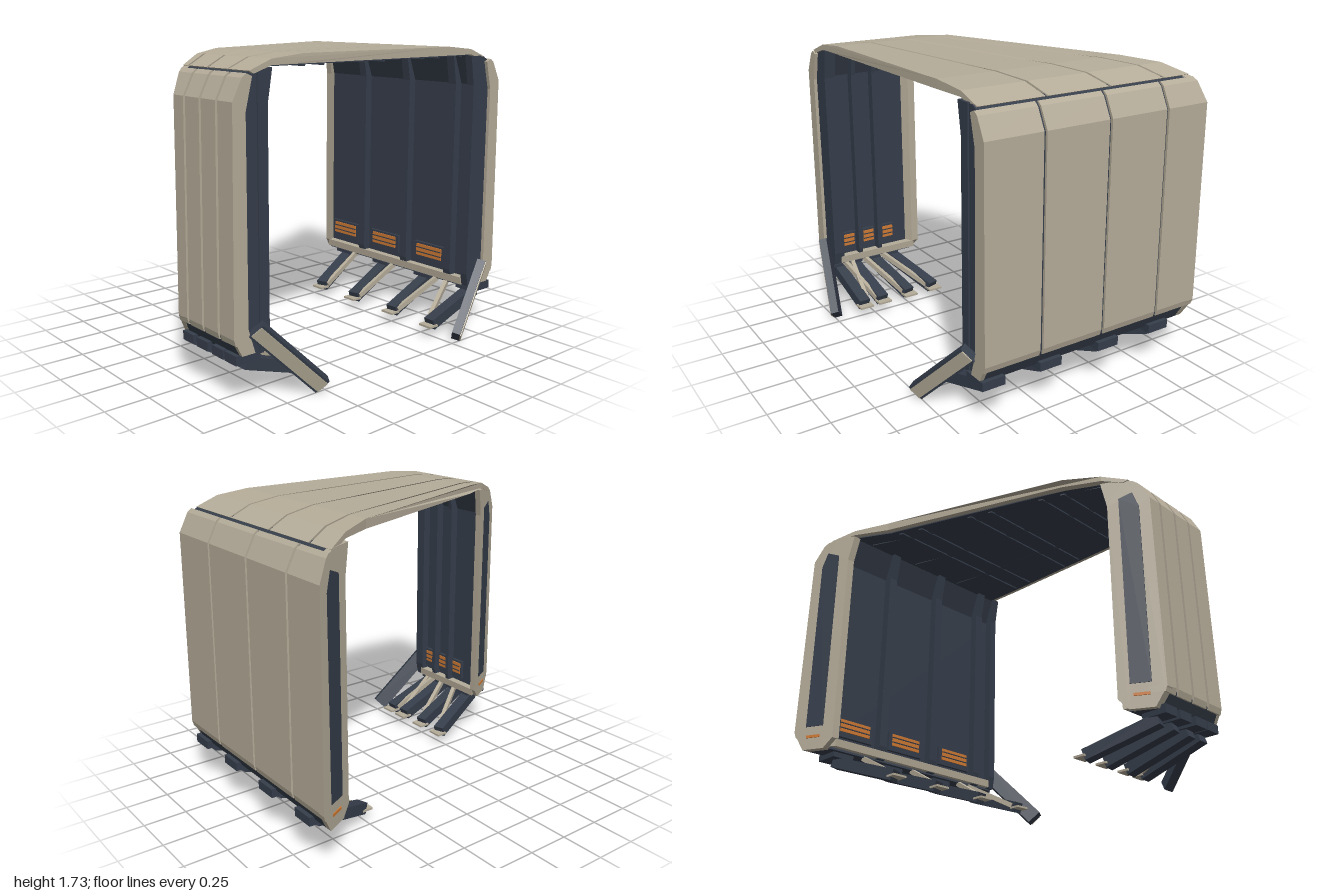
import * as THREE from 'three';

const mat = (name, color, side = THREE.FrontSide) => {
  const m = new THREE.MeshStandardMaterial({ color, side });
  m.name = name;
  return m;
};
const beige = mat('beige panel', 0xb5ac99);
const navy = mat('dark navy frame', 0x363e4b);
const orange = mat('orange light', 0xd07a34);

const fn = (v) => (typeof v === 'function' ? v : () => v);
const vec = (a) => new THREE.Vector3(...a);

// Extrudes an x-y profile between two z limits, which may vary with x
function prism(name, pts, front, back, material, hole) {
  const shape = new THREE.Shape(pts.map((p) => new THREE.Vector2(...p)));
  if (hole) shape.holes.push(new THREE.Path(hole.map((p) => new THREE.Vector2(...p))));
  const geo = new THREE.ExtrudeGeometry(shape, { depth: 1, bevelEnabled: false });
  const p = geo.attributes.position;
  const f = fn(front), b = fn(back);
  for (let i = 0; i < p.count; i++) {
    const x = p.getX(i);
    p.setZ(i, p.getZ(i) > 0.5 ? f(x) : b(x));
  }
  geo.computeVertexNormals();
  const m = new THREE.Mesh(geo, material);
  m.name = name;
  return m;
}

function box(name, size, pos, material) {
  const m = new THREE.Mesh(new THREE.BoxGeometry(...size), material);
  m.position.set(...pos);
  m.name = name;
  return m;
}

// Bar from a to b; its thickness lies along n, shifted by off
function beam(name, a, b, w, t, n, material, off = 0) {
  const A = vec(a), B = vec(b);
  const z = B.clone().sub(A), len = z.length();
  z.normalize();
  const y = vec(n);
  y.addScaledVector(z, -y.dot(z)).normalize();
  const x = y.clone().cross(z);
  const m = new THREE.Mesh(new THREE.BoxGeometry(w, t, len), material);
  m.quaternion.setFromRotationMatrix(new THREE.Matrix4().makeBasis(x, y, z));
  m.position.copy(A).add(B).multiplyScalar(0.5).addScaledVector(y, off);
  m.name = name;
  return m;
}

// One side wall: s = side, front z, groove positions, slanted back edge, leg roots and feet
function wall(s, front, grooves, back, roots, feet) {
  const g = new THREE.Group();
  g.name = s > 0 ? 'leftWall' : 'rightWall';
  const mir = (pts) => pts.map(([x, y]) => [s * x, y]);
  const gap = 0.009;

  // dark core
  g.add(prism('wallCore', mir([[0.9, 1.643], [0.92, 1.622], [0.972, 1.515], [0.984, 0.34], [0.94, 0.25],
    [0.8, 0.25], [0.82, 0.3], [0.82, 1.5], [0.76, 1.665], [0.86, 1.665]]),
    front - 0.02, (x) => back(x) + 0.035, navy));

  // outer armour panels separated by grooves
  const shell = mir([[0.905, 1.65], [0.93, 1.63], [0.986, 1.52], [0.998, 0.365], [0.988, 0.33],
    [0.91, 0.33], [0.91, 1.47], [0.87, 1.635]]);
  const limits = [front, ...grooves];
  limits.forEach((z, i) => {
    const hi = i ? z - gap : z;
    const lo = i < grooves.length ? limits[i + 1] + gap : back;
    g.add(prism('outerPanel', shell, hi, lo, beige));
  });

  // front lip and rear frame with recess
  g.add(prism('frontLip', mir([[0.91, 0.4], [0.998, 0.365], [0.95, 0.27], [0.87, 0.27]]), front, front - 0.025, beige));
  g.add(prism('rearFrame', mir([[0.9, 1.65], [0.93, 1.63], [0.986, 1.52], [0.998, 0.36], [0.94, 0.25],
    [0.82, 0.25], [0.77, 0.31], [0.77, 1.5], [0.74, 1.665], [0.86, 1.665]]),
    (x) => back(x) + 0.045, back, beige,
    mir([[0.835, 0.4], [0.925, 0.4], [0.925, 1.47], [0.9, 1.56], [0.835, 1.53]])));
  // cover the panel ends inside the recess
  g.add(prism('rearRecess', mir([[0.83, 0.39], [0.93, 0.39], [0.93, 1.47], [0.9, 1.57], [0.83, 1.54]]),
    back, (x) => back(x) - 0.003, navy));
  g.add(prism('rearLight', mir([[0.845, 0.32], [0.92, 0.32], [0.92, 0.336], [0.845, 0.336]]),
    back, (x) => back(x) - 0.006, orange));

  // inner pillars, ribs and sill
  const rib = mir([[0.83, 0.26], [0.785, 0.26], [0.77, 0.34], [0.77, 1.5], [0.742, 1.67], [0.83, 1.67]]);
  g.add(prism('frontPillar', rib, front - 0.012, front - 0.06, navy));
  const w = s > 0 ? 0.028 : 0.014;
  grooves.forEach((z, i) => {
    const mid = (limits[i] + z) / 2;
    g.add(prism('innerRib', rib, mid + w, mid - w, navy));
  });
  g.add(prism('innerSill', mir([[0.83, 0.265], [0.775, 0.265], [0.772, 0.31], [0.83, 0.31]]),
    front - 0.06, (x) => back(x) + 0.03, beige));

  // louvred orange vents near the floor
  const step = grooves[0] - grooves[1];
  for (const z of grooves) {
    g.add(box('ventHousing', [0.03, 0.12, step * 0.64], [s * 0.815, 0.4, z], navy));
    g.add(box('ventLight', [0.008, 0.075, step * 0.52], [s * 0.798, 0.41, z], orange));
    for (const y of [0.395, 0.425]) {
      g.add(box('ventSlat', [0.01, 0.006, step * 0.52], [s * 0.795, y, z], navy));
    }
  }

  // hinges at the roof joint
  for (const z of [front - 0.08, ...grooves]) {
    g.add(box('roofHinge', [0.05, 0.02, 0.03], [s * 0.8, 1.655, z], beige));
  }

  // stabiliser legs with struts, brackets and foot pads
  roots.forEach((z0, i) => {
    const z1 = feet[i];
    const dz = s > 0 ? 0.14 : 0.08;
    g.add(box('legBracket', [0.15, 0.05, s > 0 ? 0.14 : 0.1], [s * 0.9, 0.245, z0], navy));
    g.add(beam('leg', [s * 0.9, 0.21, z0], [s * 0.5, 0.075, z1], 0.07, 0.065, [0, 1, 0], navy));
    g.add(beam('legStrut', [s * 0.82, 0.25, z0 + (i ? dz : -dz)], [s * 0.52, 0.085, z1 + (i ? 0.03 : -0.03)],
      0.025, 0.03, [0, 1, 0], beige));
    g.add(box('footPad', [0.07, 0.012, 0.09], [s * 0.49, 0.07, z1], beige));
  });

  // large front brace with a light cover plate
  const a = [s * 0.875, 0.4, front + 0.012], b = [s * 0.525, 0.04, 0.755], n = [s * 0.5, -0.2, 0.8];
  g.add(beam('frontBrace', a, b, 0.095, 0.05, n, navy));
  g.add(beam('frontBraceCover', a, b, 0.068, 0.008, n, beige, 0.027));
  return g;
}

// Roof limits: z at four stations across x
const stations = [-0.9, -0.55, 0.55, 0.9];
const across = (zs, off = 0) => (x) => {
  let i = 0;
  while (i < 2 && x > stations[i + 1]) i++;
  const t = (x - stations[i]) / (stations[i + 1] - stations[i]);
  return zs[i] + (zs[i + 1] - zs[i]) * t + off;
};

function roof() {
  const g = new THREE.Group();
  g.name = 'roof';
  const lines = [
    [0.65, 0.64, 0.615, 0.6], [0.48, 0.42, 0.27, 0.2], [0.31, 0.18, -0.08, -0.2],
    [0.14, -0.02, -0.41, -0.57], [0.09, -0.11, -0.55, -0.75],
  ];
  const sym = (half) => [...half, ...half.slice().reverse().map(([x, y]) => [-x, y])];
  const ring = (top, bottom) => [...sym(top), ...sym(bottom).reverse()];
  const under = [[0.86, 1.645], [0.75, 1.68], [0.55, 1.68]];

  // light panels
  const panel = ring([[0.887, 1.66], [0.75, 1.711], [0.55, 1.73]], under);
  for (let i = 0; i < 4; i++) {
    g.add(prism('roofPanel', panel, across(lines[i], i ? -0.008 : 0), across(lines[i + 1], i < 3 ? 0.008 : 0), beige));
  }
  // dark core seen in the grooves and from below
  g.add(prism('roofCore', ring([[0.88, 1.652], [0.75, 1.7], [0.55, 1.719]],
    [[0.86, 1.638], [0.75, 1.673], [0.55, 1.673]]), across(lines[0], -0.03), across(lines[4], 0.035), navy));
  // ribs beneath, across and along
  const ribSection = ring([[0.75, 1.676], [0.55, 1.676]], [[0.75, 1.667], [0.55, 1.667]]);
  for (const l of lines.slice(1, 4)) {
    g.add(prism('roofCrossRib', ribSection, across(l, 0.015), across(l, -0.015), navy));
  }
  for (const x of [-0.51, -0.38, -0.07, 0.06, 0.38, 0.51]) {
    g.add(prism('roofLongRib', [[x - 0.012, 1.664], [x + 0.012, 1.664], [x + 0.012, 1.676], [x - 0.012, 1.676]],
      across(lines[0], -0.05), across(lines[4], 0.06), navy));
  }
  return g;
}

export function createModel() {
  const model = new THREE.Group();
  model.name = 'shelterGate';
  model.add(wall(1, 0.63, [0.28, -0.125, -0.51], (x) => -0.8 + 0.5 * (1 - x),
    [0.56, 0.2, -0.19, -0.56], [0.57, 0.25, -0.1, -0.42]));
  model.add(wall(-1, 0.65, [0.52, 0.38, 0.24], (x) => 0.15 - 0.55 * (x + 1),
    [0.58, 0.47, 0.33, 0.2], [0.57, 0.44, 0.25, 0.07]));
  model.add(roof());
  return model;
}
